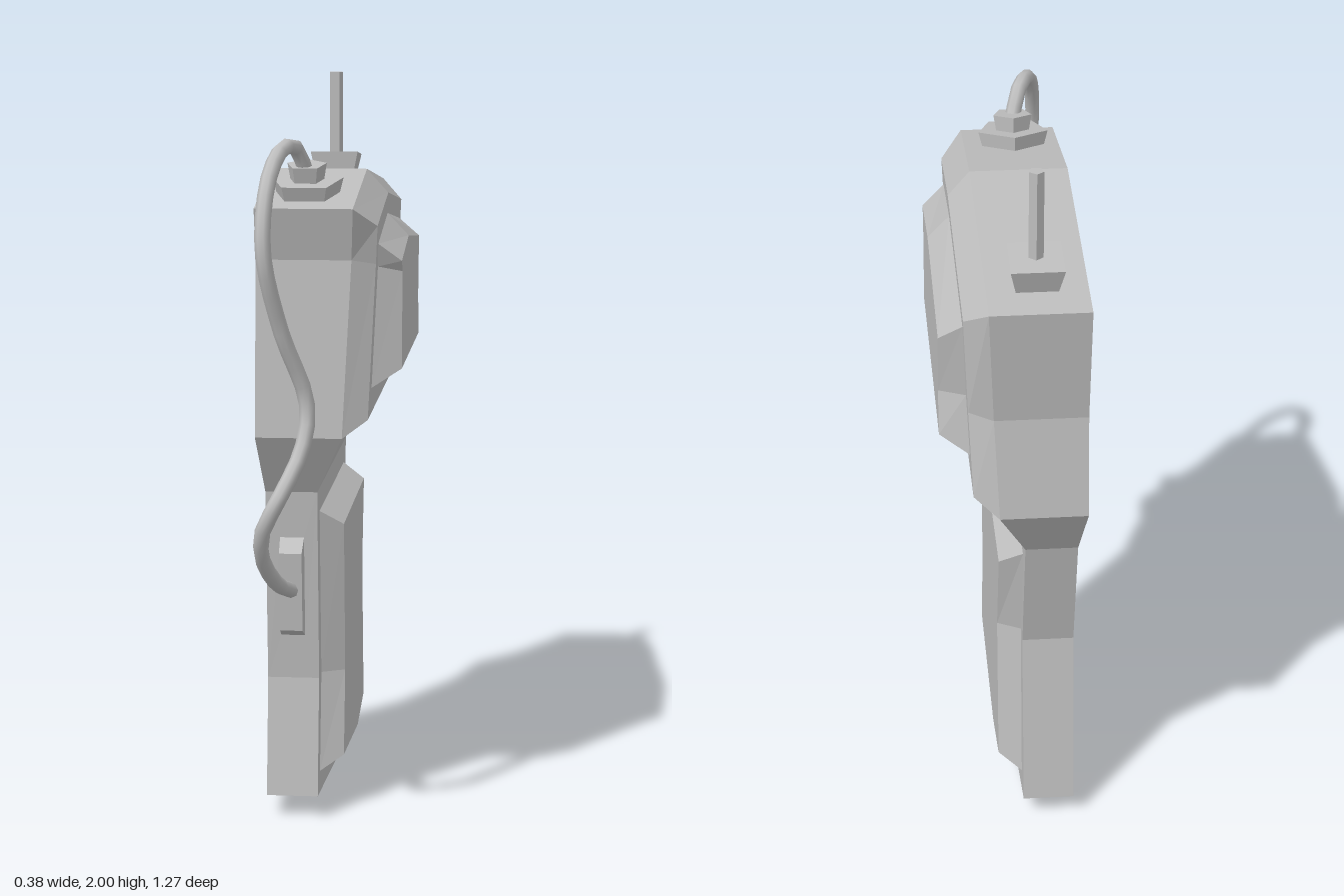
import * as THREE from 'three';

const casing = new THREE.MeshStandardMaterial({ color: 0xbdbdbd, side: THREE.DoubleSide });
casing.name = 'casing grey';

// Faceted geometry from a flat list of triangle corners
function faceted(tris) {
  const g = new THREE.BufferGeometry().setFromPoints(tris);
  g.computeVertexNormals();
  return g;
}

// Band between two rings that run clockwise as seen from outside
function loft(a, b, skip = []) {
  const t = [], n = a.length;
  for (let i = 0; i < n; i++) {
    if (skip.includes(i)) continue;
    const j = (i + 1) % n;
    t.push(a[i], b[i], b[j], a[i], b[j], a[j]);
  }
  return t;
}

// Fan that closes a ring
function cap(r) {
  const c = r.reduce((s, p) => s.add(p), new THREE.Vector3()).divideScalar(r.length);
  return r.flatMap((p, i) => [c, r[(i + 1) % r.length], p]);
}

// Ring in the side plane from [z, y] pairs; x is a number or a rule of y
const ring = (zy, x) => zy.map(([z, y]) => new THREE.Vector3(typeof x === 'function' ? x(y) : x, y, z));
const pts = (list) => list.map((p) => new THREE.Vector3(...p));

export function createModel() {
  const group = new THREE.Group();
  const add = (name, geometry, parent = group) => {
    const m = new THREE.Mesh(geometry, casing);
    m.name = name;
    parent.add(m);
    return m;
  };

  // Upper half of the open-backed shell
  const head = [[0.43, 1.68], [0.016, 1.755], [-0.636, 1.68], [-0.594, 1.352], [-0.632, 1.076], [0.43, 1.076], [0.392, 1.543]];
  const headIn = [[0.357, 1.63], [0.01, 1.69], [-0.56, 1.625], [-0.548, 1.352], [-0.588, 1.12], [0.387, 1.12], [0.352, 1.53]];
  const screenOut = [[0.3, 1.578], [0, 1.633], [-0.498, 1.575], [-0.47, 1.357], [-0.498, 1.193], [0.302, 1.193], [0.275, 1.515]];
  const screenIn = [[0.27, 1.53], [0, 1.572], [-0.467, 1.527], [-0.44, 1.357], [-0.467, 1.24], [0.262, 1.24], [0.245, 1.5]];
  const faceX = (y) => 0.105 + 0.044 * (y - 1.12);
  const h0 = ring(head, -0.19);
  const h1 = ring(head, (y) => 0.04 + 0.047 * (y - 1.076));
  const h2 = ring(headIn, faceX);
  const h3 = ring(screenOut, faceX);
  const h4 = ring(screenIn, 0.186);
  add('upperShell', faceted([...loft(h0, h1, [4]), ...loft(h1, h2), ...loft(h2, h3)]));
  add('upperPanel', faceted([...loft(h3, h4), ...cap(h4)]));

  // Lower half, the grip
  const grip = [[0.329, 0.912], [-0.535, 0.912], [-0.461, 0.562], [-0.535, 0.064], [-0.228, 0.003], [0.329, 0.064], [0.286, 0.387]];
  const padOut = [[0.265, 0.848], [-0.461, 0.848], [-0.408, 0.562], [-0.467, 0.111], [-0.228, 0.058], [0.265, 0.117], [0.223, 0.387]];
  const padIn = [[0.23, 0.806], [-0.432, 0.806], [-0.376, 0.562], [-0.43, 0.15], [-0.225, 0.11], [0.23, 0.155], [0.19, 0.387]];
  const g0 = ring(grip, -0.175);
  const g1 = ring(grip, -0.035);
  const g2 = ring(padOut, -0.035);
  const g3 = ring(padIn, 0.028);
  add('gripShell', faceted([...loft(g0, g1, [0, 6]), ...loft(g1, g2)]));
  add('gripPanel', faceted([...loft(g2, g3), ...cap(g3)]));

  // Sloping neck joins the two halves
  add('neck', faceted(loft([h0[5], h1[5], h1[4], h0[4]], [g0[0], g1[0], g1[1], g0[1]], [3])));

  // Hollow switch housing raised from the grip's front wall
  const wall = [g0[0], g1[0], g1[6], g0[6]];
  const base = pts([[-0.137, 0.785, 0.319], [-0.072, 0.785, 0.319], [-0.072, 0.509, 0.296], [-0.137, 0.509, 0.296]]);
  const top = pts([[-0.135, 0.75, 0.366], [-0.074, 0.75, 0.366], [-0.074, 0.533, 0.345], [-0.135, 0.533, 0.345]]);
  add('gripFrontWall', faceted(loft(wall, base)));
  add('cableSocket', faceted([...loft(base, top), ...cap(top)]));

  // Tapered plugs standing on the sloping top
  const prism = (rTop, rBottom, h, sides, start) => {
    const g = new THREE.CylinderGeometry(rTop, rBottom, h, sides, 1, false, start).toNonIndexed();
    g.computeVertexNormals();
    return g;
  };
  const antenna = new THREE.Group();
  antenna.name = 'antenna';
  antenna.position.set(-0.06, 0, -0.49);
  group.add(antenna);
  const foot = add('antennaBase', prism(0.097, 0.07, 0.09, 4, Math.PI / 4), antenna);
  foot.position.y = 1.72;
  foot.rotation.x = -0.115;
  add('antennaRod', prism(0.02, 0.02, 0.26, 5, Math.PI), antenna).position.y = 1.87;

  const connector = new THREE.Group();
  connector.name = 'cableConnector';
  connector.position.set(-0.065, 1.705, 0.287);
  connector.rotation.x = 0.18;
  group.add(connector);
  add('connectorBase', prism(0.1, 0.065, 0.13, 5, Math.PI), connector).position.y = -0.025;
  add('connectorNut', prism(0.055, 0.047, 0.045, 5, Math.PI), connector).position.y = 0.06;

  // Looping cable from the connector down to the socket
  const path = new THREE.CatmullRomCurve3(pts([
    [-0.062, 1.75, 0.3], [-0.085, 1.83, 0.35], [-0.113, 1.835, 0.43], [-0.137, 1.77, 0.53],
    [-0.147, 1.66, 0.588], [-0.143, 1.56, 0.602], [-0.105, 1.37, 0.546], [-0.045, 1.18, 0.495],
    [-0.053, 1.07, 0.525], [-0.11, 0.94, 0.608], [-0.15, 0.86, 0.6], [-0.157, 0.78, 0.555],
    [-0.13, 0.69, 0.46], [-0.1, 0.64, 0.33],
  ]));
  add('cable', new THREE.TubeGeometry(path, 32, 0.021, 8));

  return group;
}
